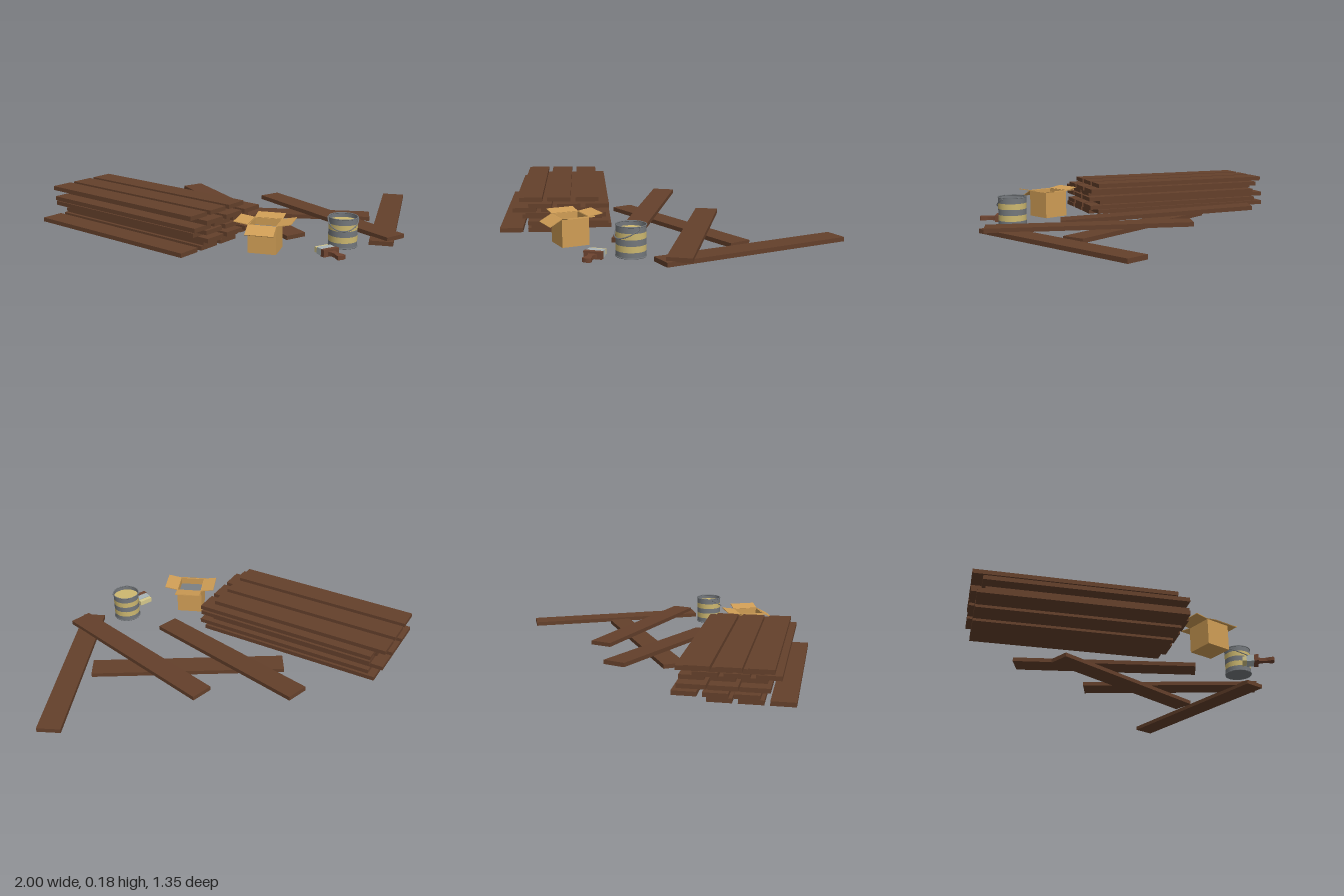
import * as THREE from 'three';

const material = (color, side = THREE.FrontSide) =>
  new THREE.MeshStandardMaterial({ color, side, flatShading: false });
const WOOD = material(0x64402b);
const CARD = material(0xcf9d55);
const METAL = material(0x74787c, THREE.DoubleSide);
const PAINT = material(0xcdb870, THREE.DoubleSide);
const NAILS = material(0x7c8084);
const FERRULE = material(0xa9b4b6);
const BRISTLE = material(0xd6c98c);
const HANDLE = material(0x6e4430);

function add(parent, name, geometry, mat, x = 0, y = 0, z = 0) {
  const mesh = new THREE.Mesh(geometry, mat);
  mesh.name = name;
  mesh.position.set(x, y, z);
  parent.add(mesh);
  return mesh;
}
const box = (w, h, d) => new THREE.BoxGeometry(w, h, d);

const LENGTH = 1.02, WIDTH = 0.12, THICK = 0.0222, BASE = 0.008;
const plankGeometry = box(LENGTH, THICK, WIDTH);

function createPile() {
  const pile = new THREE.Group();
  pile.name = 'plankPile';
  pile.rotation.y = -0.549;
  // Each layer, bottom to top: where its planks start lengthwise and sideways
  const layers = [
    [-0.785, 0.225], [-0.785, 0.06], [-0.745, 0.075], [-0.811, 0.108],
    [-0.743, 0.088], [-0.76, 0.155], [-0.751, 0.073], [-0.811, 0.125],
  ];
  layers.forEach(([along, across], layer) => {
    for (let i = 0; i < 3; i++) {
      add(pile, 'stackedPlank', plankGeometry, WOOD,
        along + LENGTH / 2, BASE + (layer + 0.5) * THICK, across + WIDTH / 2 + i * 0.147);
    }
  });
  return pile;
}

function createLoosePlanks() {
  const group = new THREE.Group();
  group.name = 'loosePlanks';
  // x, y, z, heading, tilt
  const planks = [
    [0.265, 0.019, -0.175, 0, 0],
    [0.052, 0.046, -0.13, 0.845, -0.064],
    [0.542, 0.043, -0.08, 0.817, -0.012],
    [0.877, 0.019, -0.166, 1.689, 0],
  ];
  for (const [x, y, z, heading, tilt] of planks) {
    add(group, 'loosePlank', plankGeometry, WOOD, x, y, z).rotation.set(0, -heading, tilt);
  }
  return group;
}

function createCarton() {
  const carton = new THREE.Group();
  carton.name = 'nailBox';
  carton.position.set(0.25, 0.004, 0.47);
  carton.rotation.y = -0.15;
  const size = 0.142, height = 0.142, wall = 0.004;
  add(carton, 'boxBottom', box(size, wall, size), CARD, 0, wall / 2, 0);
  add(carton, 'nails', box(size - 2 * wall, 0.01, size - 2 * wall), NAILS, 0, 0.1, 0);
  // Four walls, each with a folded-out flap; order is front, right, back, left
  [-0.5, 0.2, 0.15, 0.15].forEach((lift, i) => {
    const side = new THREE.Group();
    side.name = 'boxSide';
    side.rotation.y = i * Math.PI / 2;
    add(side, 'boxWall', box(size, height, wall), CARD, 0, height / 2, (size - wall) / 2);
    const hinge = new THREE.Group();
    hinge.name = 'flapHinge';
    hinge.position.set(0, height, size / 2);
    hinge.rotation.x = -lift;
    add(hinge, 'boxFlap', box(size, wall, 0.072), CARD, 0, 0, 0.036);
    side.add(hinge);
    carton.add(side);
  });
  return carton;
}

function createBucket() {
  const bucket = new THREE.Group();
  bucket.name = 'paintBucket';
  bucket.position.set(0.627, 0.01, 0.368);
  const radius = 0.072, height = 0.15, bands = 5, band = height / bands;
  // Striped side wall
  for (let i = 0; i < bands; i++) {
    add(bucket, 'bucketBand', new THREE.CylinderGeometry(radius, radius, band, 24, 1, true),
      i % 2 ? PAINT : METAL, 0, (i + 0.5) * band, 0);
  }
  add(bucket, 'bucketBottom', new THREE.CircleGeometry(radius, 24), METAL, 0, 0.001, 0)
    .rotation.x = Math.PI / 2;
  add(bucket, 'paint', new THREE.CircleGeometry(radius, 24), PAINT, 0, height - 0.022, 0)
    .rotation.x = -Math.PI / 2;
  // Rolled rims
  for (const y of [0.003, height]) {
    add(bucket, 'bucketRim', new THREE.TorusGeometry(radius, 0.003, 6, 24), METAL, 0, y, 0)
      .rotation.x = Math.PI / 2;
  }
  // Wire handle resting against the front
  const points = [];
  for (let i = 0; i <= 12; i++) {
    const a = Math.PI * i / 12;
    points.push(new THREE.Vector3(0.075 * Math.cos(a), 0.142 - 0.048 * Math.sin(a), 0.079 * Math.sin(a)));
  }
  add(bucket, 'bucketHandle',
    new THREE.TubeGeometry(new THREE.CatmullRomCurve3(points), 24, 0.003, 6), METAL);
  for (const s of [-1, 1]) {
    add(bucket, 'handlePivot', new THREE.CylinderGeometry(0.006, 0.006, 0.006, 10), METAL,
      s * 0.074, 0.142, 0).rotation.z = Math.PI / 2;
  }
  return bucket;
}

function createBrush() {
  const brush = new THREE.Group();
  brush.name = 'paintBrush';
  brush.position.set(0.522, 0.027, 0.478);
  brush.rotation.y = -0.915;
  // Laid along local x, from the bristle tips to the end of the grip
  add(brush, 'bristles', box(0.022, 0.026, 0.076), BRISTLE, 0.011, 0, 0);
  add(brush, 'ferrule', box(0.04, 0.034, 0.08), FERRULE, 0.042, 0, 0);
  add(brush, 'brushHead', box(0.024, 0.036, 0.09), HANDLE, 0.074, 0, 0);
  const grip = new THREE.Shape();
  grip.moveTo(0.084, -0.022);
  grip.quadraticCurveTo(0.1, -0.013, 0.13, -0.013);
  grip.quadraticCurveTo(0.148, -0.022, 0.165, -0.022);
  grip.quadraticCurveTo(0.18, 0, 0.165, 0.022);
  grip.quadraticCurveTo(0.148, 0.022, 0.13, 0.013);
  grip.quadraticCurveTo(0.1, 0.013, 0.084, 0.022);
  const geometry = new THREE.ExtrudeGeometry(grip, { depth: 0.02, bevelEnabled: false, curveSegments: 6 });
  geometry.rotateX(Math.PI / 2);
  add(brush, 'brushGrip', geometry, HANDLE, 0, 0.008, 0);
  return brush;
}

export function createModel() {
  const model = new THREE.Group();
  model.name = 'buildingSupplies';
  model.add(createPile(), createLoosePlanks(), createCarton(), createBucket(), createBrush());
  return model;
}
